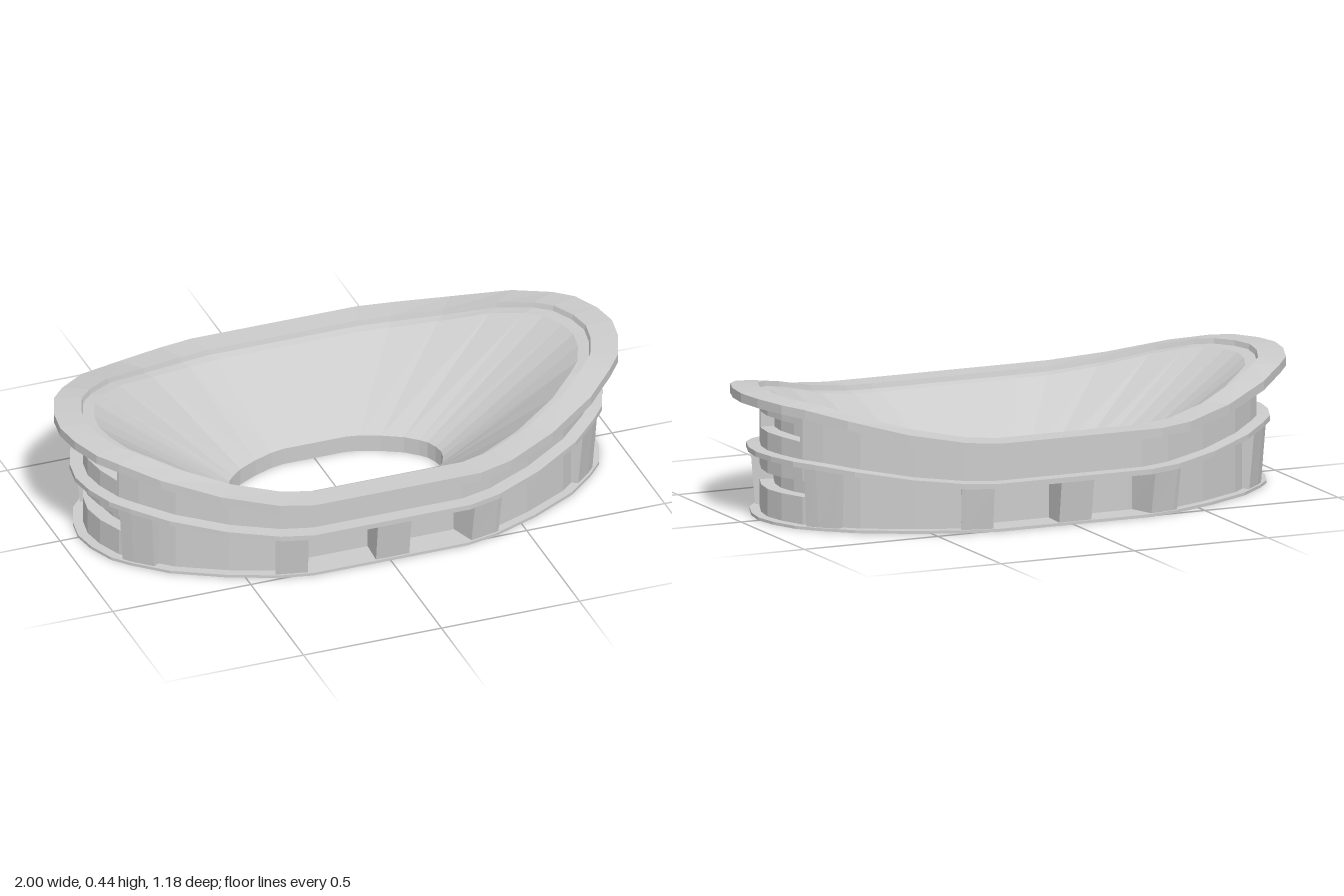
import * as THREE from 'three';

// Quarter of the unit outline: [x, z, rim height]
const QUARTER = [
  [1, 0, 0.445], [0.985, 0.165, 0.443], [0.945, 0.345, 0.437], [0.89, 0.46, 0.428],
  [0.78, 0.64, 0.4], [0.6, 0.82, 0.355], [0.42, 0.952, 0.327], [0.3, 1, 0.32],
];
const flipped = [...QUARTER].reverse().map(([x, z, h]) => [-x, z, h]);
const half = [...QUARTER, ...flipped.slice(0, -1)];
const OUTLINE = [...half, ...half.map(([x, z, h]) => [-x, -z, h])];
const N = OUTLINE.length;
const TURN = Math.PI * 2;

// Outline vertex by running index, with an ever-growing angle
const vertex = (i) => {
  const k = ((i % N) + N) % N;
  const [x, z, h] = OUTLINE[k];
  return { x, z, h, t: (Math.atan2(z, x) + TURN) % TURN + Math.floor(i / N) * TURN };
};

// Point where the ray at angle t crosses the outline
function pointAt(t) {
  let i = -N;
  while (vertex(i + 1).t <= t) i++;
  const a = vertex(i), b = vertex(i + 1);
  const c = Math.cos(t), s = Math.sin(t);
  const da = a.x * s - a.z * c, db = b.x * s - b.z * c;
  const f = da / (da - db);
  const mix = (k) => a[k] + (b[k] - a[k]) * f;
  return { x: mix('x'), z: mix('z'), h: mix('h') };
}

function outlineBetween(t0, t1) {
  const points = [pointAt(t0)];
  for (let i = -N; i < 2 * N; i++) {
    const v = vertex(i);
    if (v.t > t0 + 1e-4 && v.t < t1 - 1e-4) points.push(v);
  }
  points.push(pointAt(t1));
  return points;
}

const material = new THREE.MeshStandardMaterial({ color: 0xcccccc, flatShading: true });

// Sweeps a profile of [x radius, z radius, height] along part of the outline.
// caps: 1 closes the ends of a solid, -1 closes the ends of a notch
function sweep(name, t0, t1, profile, caps = 0) {
  const rows = outlineBetween(t0, t1).map((p) => profile.map(([a, b, y]) => [
    a * p.x, typeof y === 'function' ? y(p.h) : y, b * p.z,
  ]));
  const positions = [];
  const tri = (...corners) => corners.forEach((c) => positions.push(...c));
  for (let i = 0; i < rows.length - 1; i++) {
    for (let j = 0; j < profile.length - 1; j++) {
      const a = rows[i][j], b = rows[i][j + 1], c = rows[i + 1][j], d = rows[i + 1][j + 1];
      tri(a, b, c);
      tri(b, d, c);
    }
  }
  if (caps) {
    const ends = [rows[0], rows[rows.length - 1]];
    if (caps < 0) ends.reverse();
    // A notch is capped between its four inner profile points
    const [s, e] = ends.map((r) => (caps < 0 ? r.slice(1, 5).reverse() : r));
    for (let k = 1; k < s.length - 1; k++) {
      tri(s[0], s[k + 1], s[k]);
      tri(e[0], e[k], e[k + 1]);
    }
  }
  const geometry = new THREE.BufferGeometry();
  geometry.setAttribute('position', new THREE.Float32BufferAttribute(positions, 3));
  geometry.computeVertexNormals();
  const mesh = new THREE.Mesh(geometry, material);
  mesh.name = name;
  return mesh;
}

// Heights that follow the saddle-shaped rim
const rim = (drop) => (h) => h - drop;
const mid = (drop) => (h) => 0.17 + (h - 0.32) * 0.55 - drop;

export function createModel() {
  const model = new THREE.Group();
  model.name = 'funnelCollar';

  // Base plate, middle ledge, rim and funnel run all the way round
  model.add(sweep('basePlate', 0, TURN, [
    [0.38, 0.205, 0], [0.935, 0.52, 0], [0.935, 0.52, 0.01], [0.8, 0.4, 0.01],
  ]));
  model.add(sweep('middleLedge', 0, TURN, [
    [0.8, 0.4, mid(0.018)], [0.945, 0.54, mid(0.018)], [0.945, 0.54, mid(0)], [0.89, 0.48, mid(0)],
  ]));
  model.add(sweep('rim', 0, TURN, [
    [0.89, 0.48, rim(0.045)], [1, 0.59, rim(0.032)], [1, 0.59, rim(0)],
    [0.905, 0.5, rim(0)], [0.9, 0.495, rim(0.018)], [0.86, 0.468, rim(0.025)],
  ]));
  model.add(sweep('funnel', 0, TURN, [
    [0.86, 0.468, rim(0.025)], [0.38, 0.205, 0.06], [0.38, 0.205, 0],
  ]));

  // Walls and ribs repeat after half a turn
  const side = new THREE.Group();
  side.name = 'sideHalf';
  const wall = (low, high, a = 0.9, b = 0.49) => [[a, b, low], [a, b, high]];
  const slotted = (low, y0, y1, high) => [
    [0.9, 0.49, low], [0.9, 0.49, y0], [0.85, 0.463, y0],
    [0.85, 0.463, y1], [0.9, 0.49, y1], [0.9, 0.49, high],
  ];

  side.add(sweep('upperSlot', -0.33, 0.227,
    slotted(mid(0), rim(0.143), rim(0.087), rim(0.04)), -1));
  side.add(sweep('upperWall', 0.227, Math.PI - 0.33, wall(mid(0), rim(0.04))));

  side.add(sweep('lowerSlot', -0.453, 0.333, slotted(0.01, 0.105, 0.16, mid(0.018)), -1));
  for (const [t0, t1] of [[0.333, 1.2], [1.94, Math.PI - 0.453]]) {
    side.add(sweep('lowerWall', t0, t1, wall(0.01, mid(0.018))));
  }
  side.add(sweep('recessWall', 1.2, 1.94, wall(0.01, mid(0.018), 0.84, 0.42)));

  // Ribs between base plate and ledge, by start and end angle
  const ribs = [[0.406, 0.59], [1.135, 1.258], [1.496, 1.626], [1.883, 2.006], [2.55, 2.735]];
  for (const [t0, t1] of ribs) {
    side.add(sweep('rib', t0, t1, [
      [0.82, 0.41, 0.01], [0.925, 0.513, 0.01], [0.94, 0.534, mid(0.018)], [0.82, 0.41, mid(0.018)],
    ], 1));
  }

  const otherSide = side.clone();
  otherSide.name = 'otherSideHalf';
  otherSide.rotation.y = Math.PI;
  model.add(side, otherSide);
  return model;
}
